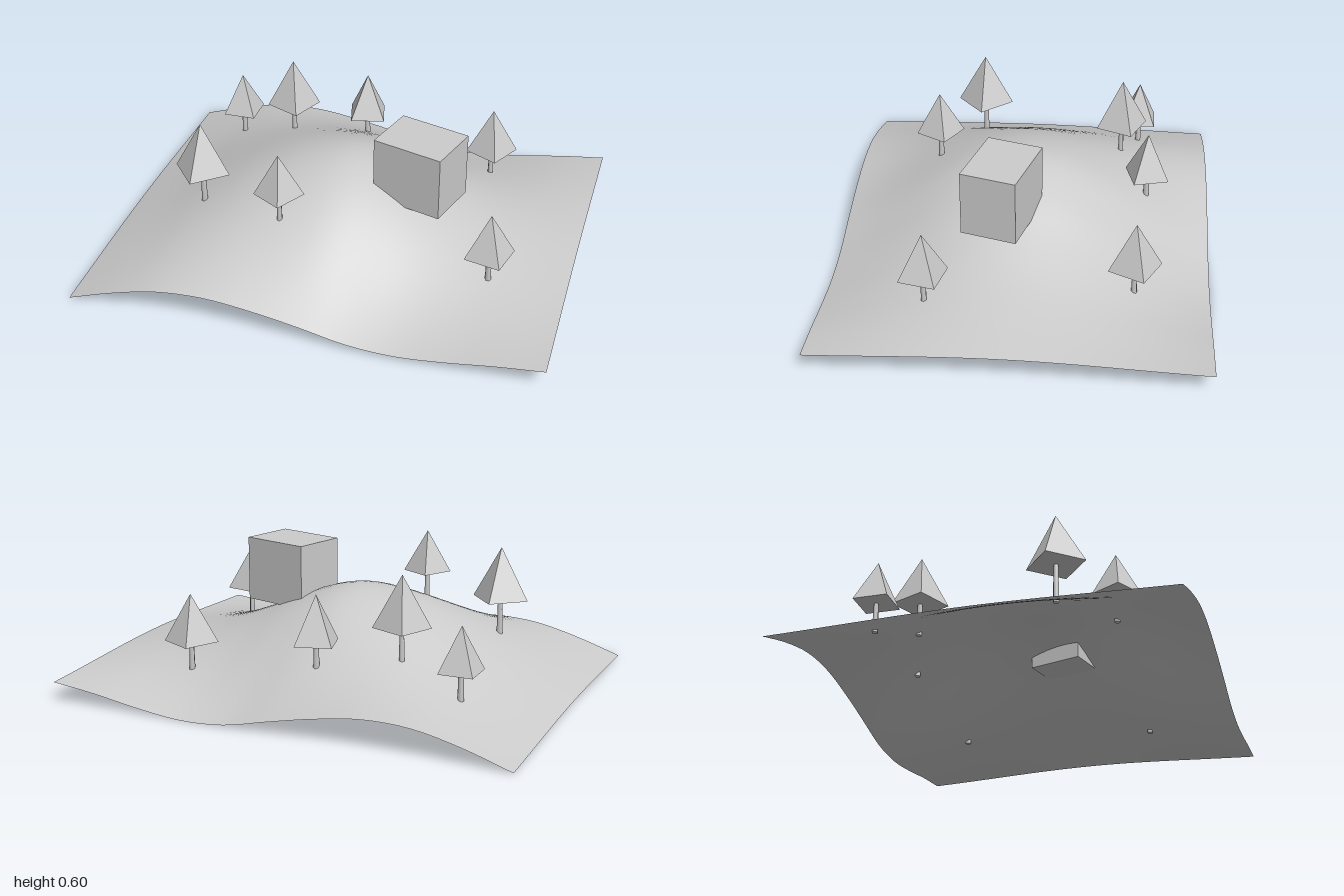
import * as THREE from 'three';

const grey = new THREE.MeshStandardMaterial({ color: 0xcccccc });
const sheet = new THREE.MeshStandardMaterial({ color: 0xcccccc, side: THREE.DoubleSide });
const facet = new THREE.MeshStandardMaterial({ color: 0xcccccc, flatShading: true });

// Smooth height profile along x, sampled every 0.2 units from x = -1 to 1
function profile(heights) {
  const points = heights.map((y, i) => new THREE.Vector3(-1 + i * 0.2, y, 0));
  const curve = new THREE.CatmullRomCurve3(points, false, 'catmullrom', 0.5);
  return (x) => curve.getPoint(THREE.MathUtils.clamp((x + 1) / 2, 0, 1)).y;
}
const edge = profile([0.005, 0.07, 0.115, 0.122, 0.095, 0.055, 0.012, 0.004, 0.027, 0.06, 0.085]);
const crest = profile([0.025, 0.12, 0.23, 0.33, 0.4, 0.425, 0.37, 0.28, 0.205, 0.155, 0.115]);

// Bell-shaped blend from the back edge (0) up to the crest (1)
const bell = (z) => Math.exp(-((z - 0.025) ** 2) / 0.5);
const low = bell(-0.8);
function groundHeight(x, z) {
  const base = edge(x);
  return base + ((crest(x) - base) * (bell(z) - low)) / (1 - low);
}

function makeTerrain() {
  const geometry = new THREE.PlaneGeometry(2, 1.6, 40, 32).rotateX(-Math.PI / 2);
  const pos = geometry.attributes.position;
  for (let i = 0; i < pos.count; i++) pos.setY(i, groundHeight(pos.getX(i), pos.getZ(i)));
  geometry.computeVertexNormals();
  const mesh = new THREE.Mesh(geometry, sheet);
  mesh.name = 'terrain';
  return mesh;
}

// Four-sided crown on a thin trunk that is set into the ground
function makeTree([x, z, apex, crownBase, radius, turn]) {
  const tree = new THREE.Group();
  tree.name = 'tree';
  const height = apex - crownBase;
  const crown = new THREE.Mesh(new THREE.ConeGeometry(radius, height, 4), facet);
  crown.name = 'crown';
  crown.position.y = crownBase + height / 2;

  const foot = groundHeight(x, z) - 0.012;
  const length = crownBase + 0.01 - foot;
  const trunk = new THREE.Mesh(new THREE.CylinderGeometry(0.01, 0.013, length, 6), grey);
  trunk.name = 'trunk';
  trunk.position.y = foot + length / 2;

  tree.add(crown, trunk);
  tree.position.set(x, 0, z);
  tree.rotation.y = turn;
  return tree;
}

export function createModel() {
  const model = new THREE.Group();
  model.name = 'hillWithTrees';
  model.add(makeTerrain());

  // Block building partly sunk into the slope
  const building = new THREE.Mesh(new THREE.BoxGeometry(0.314, 0.28, 0.24), grey);
  building.name = 'building';
  building.position.set(0.318, 0.45, 0.078);
  building.rotation.y = -0.28;
  model.add(building);

  // x, z, apex height, crown base height, crown radius, turn
  const trees = [
    [-0.6, 0.24, 0.595, 0.37, 0.126, -0.08],
    [-0.2, 0.4, 0.605, 0.42, 0.105, 0.27],
    [0.68, 0.36, 0.455, 0.263, 0.11, 0.56],
    [0.52, -0.48, 0.44, 0.235, 0.115, 0.32],
    [-0.08, -0.52, 0.51, 0.31, 0.108, 1.04],
    [-0.4, -0.4, 0.595, 0.377, 0.119, 0.38],
    [-0.68, -0.48, 0.44, 0.255, 0.102, Math.PI / 4],
  ];
  for (const t of trees) model.add(makeTree(t));
  return model;
}
